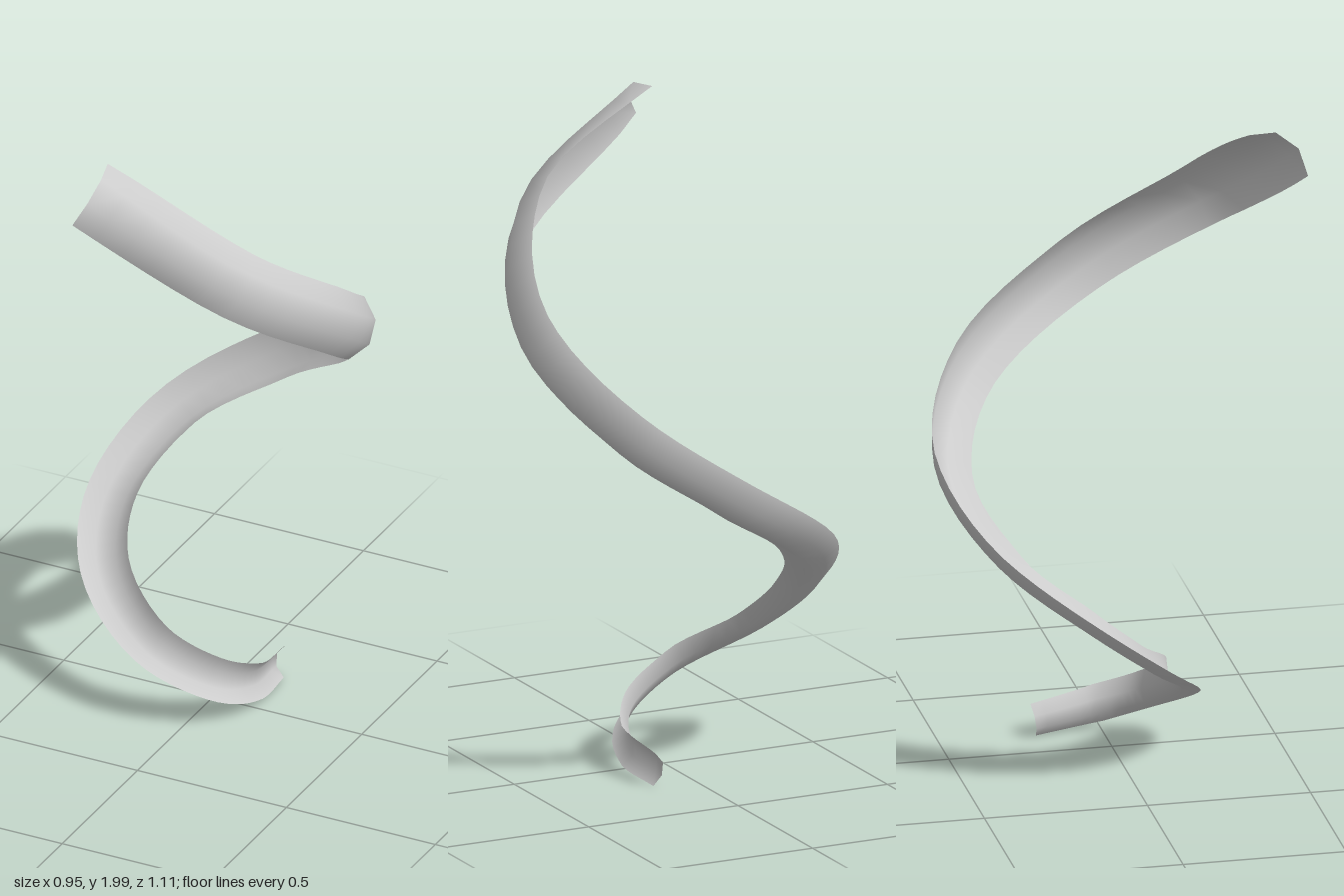
import * as THREE from 'three';

// Stations along the spiral: x, y, z of the chord middle, roll (degrees), chord width
const STATIONS = [
  [0.135, 0.057, -0.212, -180, 0.105],
  [0.15, 0.09, -0.01, -180, 0.122],
  [0.075, 0.155, 0.135, -158, 0.131],
  [-0.11, 0.26, 0.195, -135, 0.14],
  [-0.33, 0.405, 0.065, -112, 0.152],
  [-0.397, 0.565, -0.125, -90, 0.164],
  [-0.295, 0.755, -0.37, -67, 0.172],
  [0, 0.955, -0.486, -45, 0.182],
  [0.285, 1.16, -0.355, -22, 0.19],
  [0.42, 1.395, -0.01, 0, 0.2],
  [0.26, 1.66, 0.345, 22, 0.21],
  [-0.172, 1.93, 0.475, 45, 0.22],
];
const STEPS = 6;          // rows per span
const SIDES = 3;          // facets across the channel
const HALF = Math.PI / 3; // half of the channel's arc

// An open channel, a 120 degree arc, swept up the spiral while it rolls and widens
function channelGeometry() {
  const path = new THREE.CatmullRomCurve3(STATIONS.map(s => new THREE.Vector3(s[0], s[1], s[2])));
  const spans = STATIONS.length - 1;
  const rows = spans * STEPS;
  const up = new THREE.Vector3(0, 1, 0);
  const positions = [], index = [];

  for (let i = 0; i <= rows; i++) {
    const k = Math.min(Math.floor(i / STEPS), spans - 1);
    const f = i / STEPS - k;
    const roll = THREE.MathUtils.degToRad(THREE.MathUtils.lerp(STATIONS[k][3], STATIONS[k + 1][3], f));
    const width = THREE.MathUtils.lerp(STATIONS[k][4], STATIONS[k + 1][4], f);
    const radius = width / 2 / Math.sin(HALF);

    const centre = path.getPoint(i / rows);
    const tangent = path.getTangent(i / rows);
    const outward = up.clone().cross(tangent).normalize();
    const rise = tangent.clone().cross(outward);
    const bulge = outward.clone().multiplyScalar(Math.cos(roll)).addScaledVector(rise, Math.sin(roll));
    const chord = outward.clone().multiplyScalar(-Math.sin(roll)).addScaledVector(rise, Math.cos(roll));

    for (let j = 0; j <= SIDES; j++) {
      const a = HALF * (2 * j / SIDES - 1);
      const p = centre.clone()
        .addScaledVector(bulge, radius * (Math.cos(a) - Math.cos(HALF)))
        .addScaledVector(chord, radius * Math.sin(a));
      positions.push(p.x, p.y, p.z);
      if (i < rows && j < SIDES) {
        const n = i * (SIDES + 1) + j, m = n + SIDES + 1;
        index.push(n, n + 1, m, n + 1, m + 1, m);
      }
    }
  }
  const geometry = new THREE.BufferGeometry();
  geometry.setAttribute('position', new THREE.Float32BufferAttribute(positions, 3));
  geometry.setIndex(index);
  geometry.computeVertexNormals();
  return geometry;
}

export function createModel() {
  const group = new THREE.Group();
  group.name = 'spiralChannel';
  const material = new THREE.MeshStandardMaterial({ color: 0xcccccc, side: THREE.DoubleSide });
  const channel = new THREE.Mesh(channelGeometry(), material);
  channel.name = 'curvedChannel';
  group.add(channel);
  return group;
}
